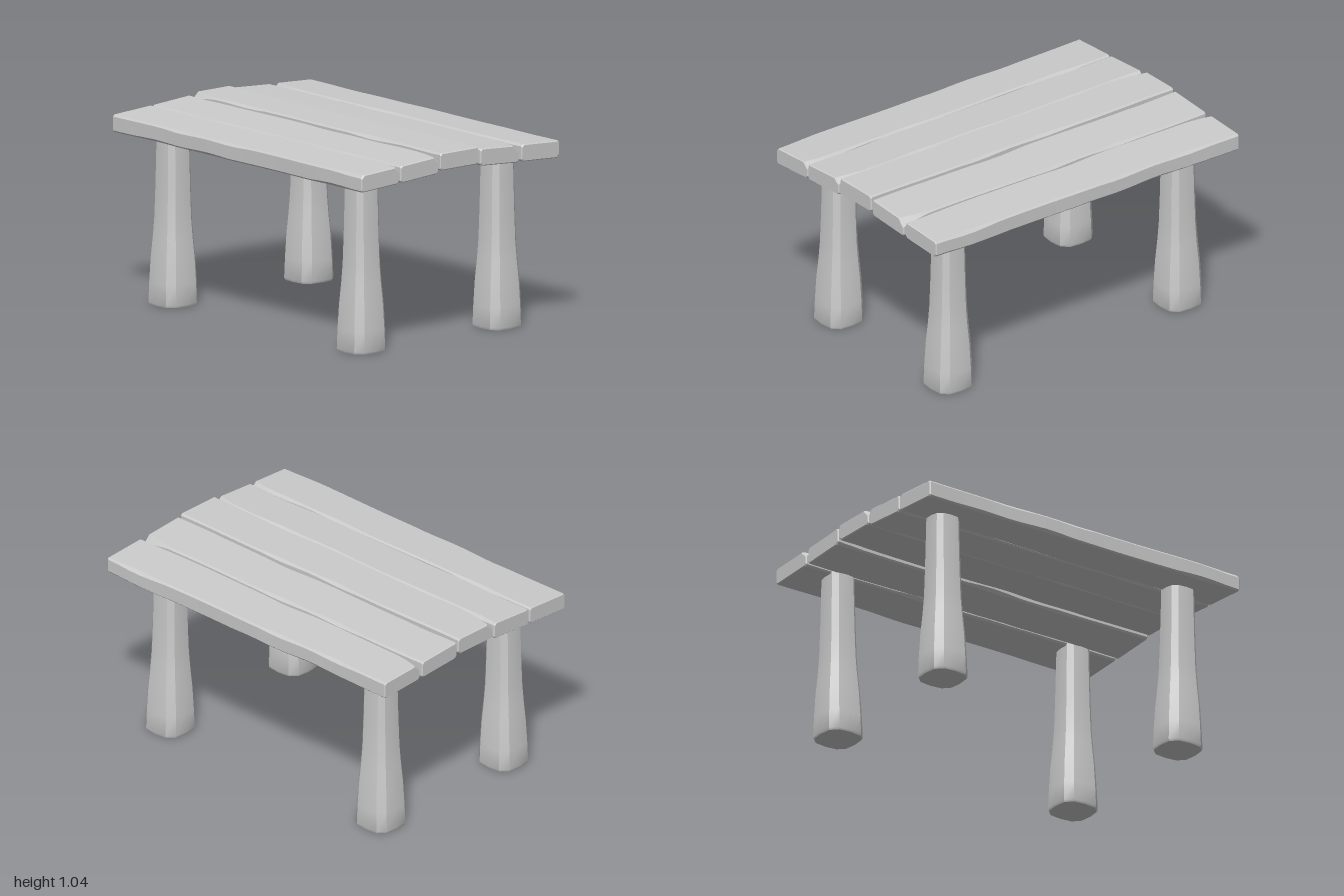
import * as THREE from 'three';
import { toCreasedNormals } from 'three/addons/utils/BufferGeometryUtils.js';

const material = new THREE.MeshStandardMaterial({ color: 0xcccccc });

// Skin a list of equal-sized closed rings and cap both ends.
// Rings run counter-clockwise when the loft axis points at the viewer.
function loft(rings, crease) {
  const n = rings[0].length, last = (rings.length - 1) * n, index = [];
  for (let i = 0; i < rings.length - 1; i++) {
    for (let j = 0; j < n; j++) {
      const a = i * n + j, b = i * n + (j + 1) % n;
      index.push(a, b, b + n, a, b + n, a + n);
    }
  }
  for (let j = 1; j < n - 1; j++) {
    index.push(0, j + 1, j, last, last + j, last + j + 1);
  }
  const geometry = new THREE.BufferGeometry();
  geometry.setAttribute('position', new THREE.Float32BufferAttribute(rings.flat(2), 3));
  geometry.setIndex(index);
  return toCreasedNormals(geometry, crease);
}

// Worn plank along x: chamfered section whose edge wear varies along the length
function plankGeometry(z0, y0, slope, chipEnd, seed) {
  const halfW = 0.131, halfH = 0.046, segments = 24, rings = [];
  const stations = [[-1, 0.005], [-0.994, 0]];
  for (let i = 1; i < segments; i++) stations.push([-1 + 2 * i / segments, 0]);
  stations.push([0.992, 0], [0.998, 0.005]);

  for (const [x, inset] of stations) {
    const h = halfH - inset, ring = [];
    [[1, 1], [-1, 1], [-1, -1], [1, -1]].forEach(([sy, sz], k) => {
      const wave = Math.sin(x * 9 + seed * 2.3 + k * 1.7) * Math.sin(x * 4.1 + seed + k);
      const w = halfW - inset + 0.003 * Math.sin(x * 7 + seed * 1.9 + sz);
      const chip = sy > 0 && sz === -chipEnd ? Math.max(0, 1 - (1 - x * chipEnd) / 0.13) : 0;
      const c = 0.009 + 0.008 * Math.max(0, wave) + 0.022 * chip;
      const pair = [[sy * h, sz * (w - c)], [sy * (h - c), sz * w]];
      if (sy * sz < 0) pair.reverse();
      for (const [dy, dz] of pair) ring.push([x, y0 + dy - slope * dz, z0 + dz]);
    });
    rings.push(ring);
  }
  return loft(rings, 0.5);
}

// Flared leg: a square with cut corners and slightly bowed sides
function legGeometry() {
  const profile = [[0, 0.112], [0.012, 0.117], [0.12, 0.113], [0.25, 0.106], [0.36, 0.096],
    [0.46, 0.089], [0.62, 0.084], [0.8, 0.08], [0.94, 0.077]];
  const quarter = [[1, 0], [0.93, 0.6], [0.6, 0.93]];
  const section = [];
  for (let q = 0; q < 4; q++) {
    for (const [u, v] of quarter) {
      section.push([[u, v], [-v, u], [-u, -v], [v, -u]][q]);
    }
  }
  return loft(profile.map(([y, r]) => section.map(([z, x]) => [x * r, y, z * r])), 0.5);
}

export function createModel() {
  const table = new THREE.Group();
  table.name = 'plankTable';

  // Five planks forming a gently arched top: z, y, slope, chipped end
  const tabletop = new THREE.Group();
  tabletop.name = 'tabletop';
  const planks = [
    [0.548, 0.957, 0.055, 1],
    [0.28, 0.972, -0.0, 1],
    [0.004, 0.993, 0, -1],
    [-0.268, 0.972, 0, 1],
    [-0.547, 0.957, -0.055, -1],
  ];
  planks[1][2] = 0.065;
  planks[3][2] = -0.065;
  planks.forEach((p, i) => {
    const plank = new THREE.Mesh(plankGeometry(...p, i + 1), material);
    plank.name = `plank${i + 1}`;
    tabletop.add(plank);
  });
  table.add(tabletop);

  // Four legs
  const geometry = legGeometry();
  for (const [side, x] of [['Left', 0.75], ['Right', -0.762]]) {
    for (const [end, z] of [['front', 0.468], ['back', -0.461]]) {
      const leg = new THREE.Mesh(geometry, material);
      leg.name = `${end}${side}Leg`;
      leg.position.set(x, 0, z);
      table.add(leg);
    }
  }
  return table;
}
